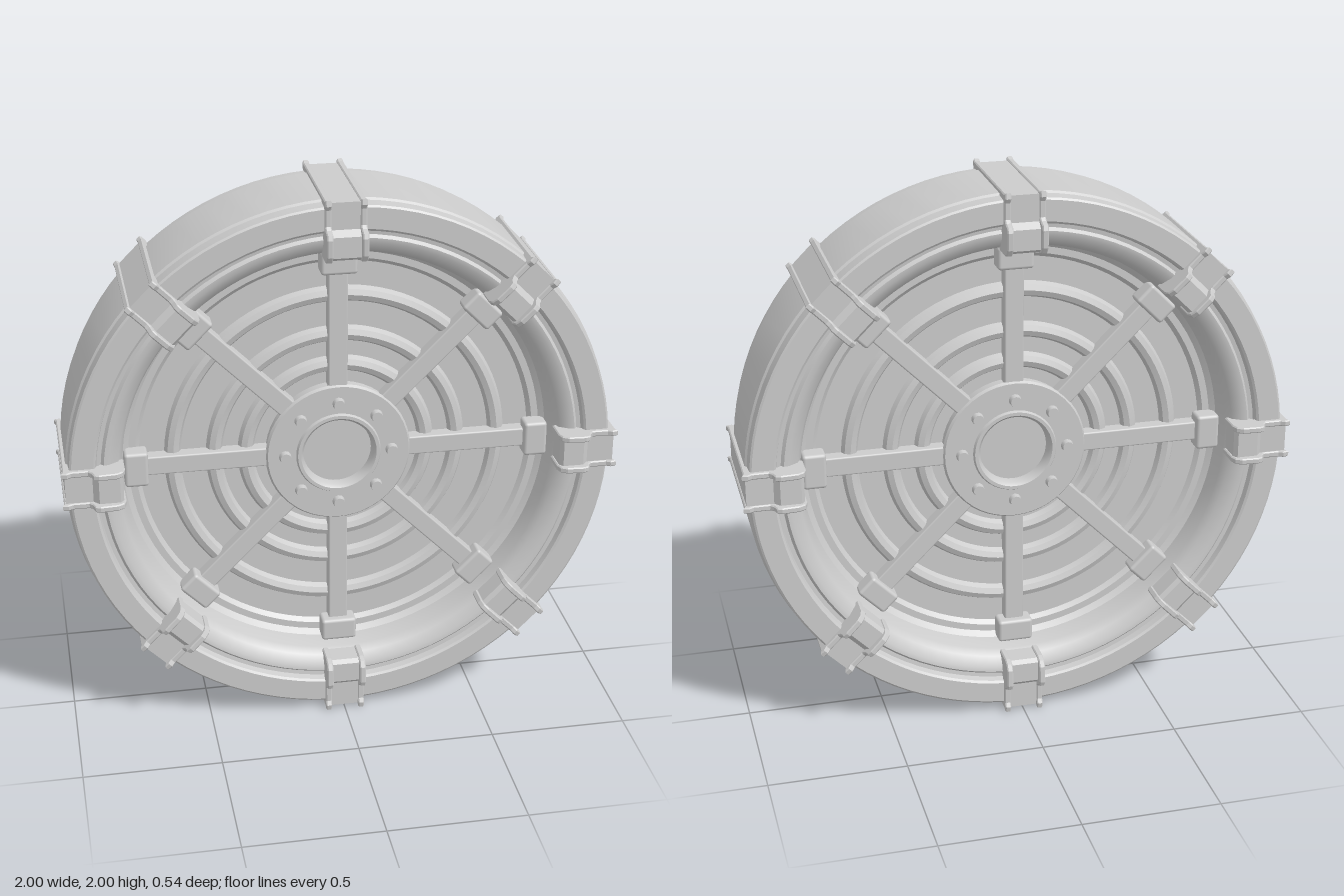
import * as THREE from 'three';
import { toCreasedNormals } from 'three/addons/utils/BufferGeometryUtils.js';
import { RoundedBoxGeometry } from 'three/addons/geometries/RoundedBoxGeometry.js';

const material = new THREE.MeshStandardMaterial({ color: 0xcccccc });

function add(parent, name, geometry, x = 0, y = 0, z = 0) {
  const mesh = new THREE.Mesh(geometry, material);
  mesh.name = name;
  mesh.position.set(x, y, z);
  parent.add(mesh);
  return mesh;
}

// Solid of revolution about z, mirrored front to back; half runs from the rim to the axis as [radius, z]
function turned(half, segments) {
  const back = half.map(([r, z]) => [r, -z]).reverse();
  const points = [...back, ...half].map(([r, z]) => new THREE.Vector2(r, z));
  const geometry = new THREE.LatheGeometry(points, segments).rotateX(Math.PI / 2);
  return toCreasedNormals(geometry, 0.6);
}

// Clamp cross-section in the (z, radius) plane, mirrored, extruded across the tangent
function clampSlice(half, width) {
  const points = [...half, ...half.map(([z, r]) => [-z, r]).reverse()];
  const shape = new THREE.Shape(points.map(([z, r]) => new THREE.Vector2(z, r)));
  const geometry = new THREE.ExtrudeGeometry(shape, {
    depth: width - 0.008, bevelEnabled: true, bevelSize: 0.004, bevelThickness: 0.004, bevelSegments: 1,
  });
  return geometry.translate(0, 0, -(width - 0.008) / 2).rotateY(-Math.PI / 2);
}

export function createModel() {
  const model = new THREE.Group();
  const wheel = new THREE.Group();
  wheel.name = 'wheel';
  wheel.position.y = 1;
  model.add(wheel);

  // Rim, stepped inner lip and dished web with concentric ridges
  const profile = [
    [0.983, 0.15], [0.976, 0.158], [0.973, 0.205], [0.966, 0.21], [0.89, 0.21], [0.882, 0.204],
    [0.877, 0.18], [0.862, 0.178], [0.852, 0.19], [0.835, 0.188], [0.8, 0.165], [0.785, 0.13],
    [0.775, 0.06], [0.755, 0.045], [0.73, 0.045], [0.715, 0.03],
  ];
  for (const r of [0.595, 0.445, 0.33]) {
    profile.push([r + 0.03, 0.03], [r + 0.02, 0.05], [r, 0.058], [r - 0.02, 0.05], [r - 0.03, 0.03]);
  }
  profile.push([0, 0.03]);
  add(wheel, 'rimAndWeb', turned(profile, 96));

  // Hub with a raised collar around a shallow recess
  add(wheel, 'hub', turned([
    [0.258, 0.07], [0.265, 0.078], [0.258, 0.088], [0.155, 0.088], [0.15, 0.098], [0.138, 0.098],
    [0.128, 0.085], [0.125, 0.055], [0, 0.055],
  ], 48));

  // Clamp sections: low strap between two taller flanges
  const strap = [
    [0.215, 0.984], [0.215, 0.89], [0.238, 0.87], [0.238, 0.8], [0.225, 0.79],
    [0.15, 0.79], [0.15, 0.83], [0.19, 0.87], [0.19, 0.965],
  ];
  const flange = [
    [0.215, 0.99], [0.228, 0.995], [0.231, 0.98], [0.222, 0.965], [0.222, 0.905], [0.235, 0.893],
    [0.258, 0.885], [0.264, 0.87], [0.26, 0.81], [0.248, 0.79], [0.225, 0.782], [0.15, 0.782],
    [0.15, 0.83], [0.19, 0.87], [0.19, 0.965],
  ];
  const strapGeometry = clampSlice(strap, 0.13);
  const flangeGeometry = clampSlice(flange, 0.022);
  const boltGeometry = new THREE.CylinderGeometry(0.02, 0.024, 0.03, 12).rotateX(Math.PI / 2);
  const endBlockGeometry = new RoundedBoxGeometry(0.13, 0.085, 0.075, 2, 0.012);

  // Eight sectors, each with a clamp and matching parts on both faces
  for (let i = 0; i < 8; i++) {
    const sector = new THREE.Group();
    sector.name = 'sector' + (i + 1);
    sector.rotation.z = (i * Math.PI) / 4;
    wheel.add(sector);

    add(sector, 'clampStrap', strapGeometry);
    for (const side of [-1, 1]) add(sector, 'clampFlange', flangeGeometry, side * 0.061);

    for (const face of [-1, 1]) {
      add(sector, 'spoke', new RoundedBoxGeometry(0.07, 0.48, 0.06, 1, 0.006), 0, 0.48, face * 0.05);
      add(sector, 'spokeEndBlock', endBlockGeometry, 0, 0.73, face * 0.07);
      const bolt = add(sector, 'hubBolt', boltGeometry, 0, 0.195, face * 0.095);
      if (face < 0) bolt.rotation.y = Math.PI;
    }
  }
  return model;
}
